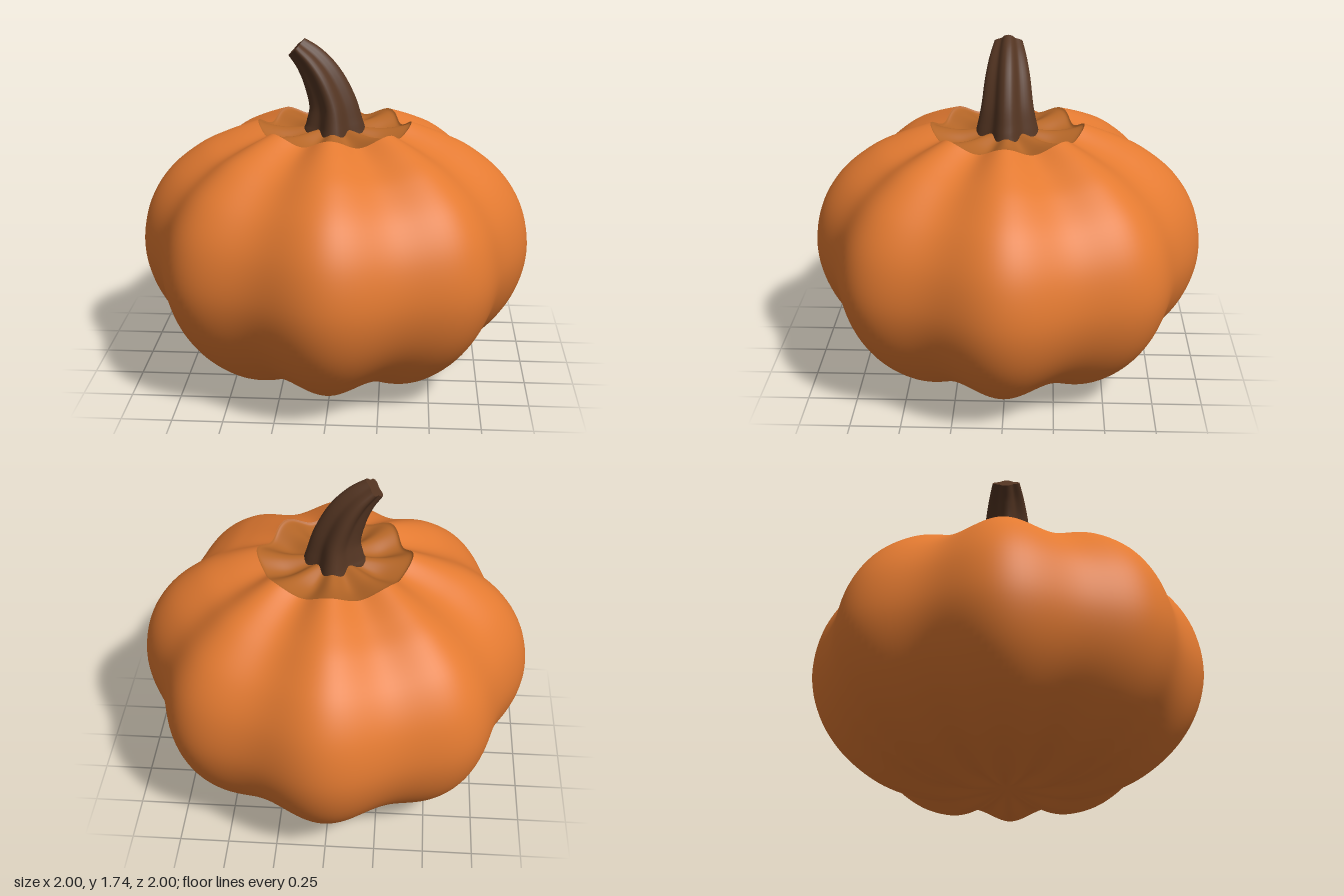
import * as THREE from 'three';

const MID = 0.65; // height of the widest ring
const LOBES = 8;

// Closed surface of rings: pointAt(t, angle) gives each vertex, t runs bottom to top
function ringSurface(rows, sides, pointAt, material, name) {
  const pos = [], index = [];
  for (let i = 0; i <= rows; i++) {
    for (let j = 0; j < sides; j++) {
      pos.push(...pointAt(i / rows, (j / sides) * Math.PI * 2));
      if (i === rows) continue;
      const a = i * sides + j, b = i * sides + ((j + 1) % sides);
      index.push(a, a + sides, b, b, a + sides, b + sides);
    }
  }
  const geo = new THREE.BufferGeometry();
  geo.setAttribute('position', new THREE.Float32BufferAttribute(pos, 3));
  geo.setIndex(index);
  geo.computeVertexNormals();
  const mesh = new THREE.Mesh(geo, material);
  mesh.name = name;
  return mesh;
}

// Profile turned around y, swelling and shrinking in eight lobes that fade near the axis
function lobed(profile, rows, material, name) {
  const curve = new THREE.SplineCurve(profile.map(([r, y]) => new THREE.Vector2(r, y)));
  return ringSurface(rows, 192, (t, a) => {
    const p = curve.getPoint(t);
    const r = Math.max(p.x, 0);
    const fade = THREE.MathUtils.smoothstep(r, 0, 0.3);
    const s = 1 - 0.035 * fade * (1 - Math.cos(LOBES * a));
    return [r * s * Math.cos(a), MID + (p.y - MID) * s, r * s * Math.sin(a)];
  }, material, name);
}

export function createModel() {
  const skin = new THREE.MeshStandardMaterial({ color: 0xe37a31 });
  skin.name = 'orange skin';
  const lidSkin = new THREE.MeshStandardMaterial({ color: 0xb56627 });
  lidSkin.name = 'brownish orange lid';
  const bark = new THREE.MeshStandardMaterial({ color: 0x543522 });
  bark.name = 'dark brown stem';

  const group = new THREE.Group();
  group.name = 'pumpkin';

  // Ribbed body with a dimpled underside
  group.add(lobed([
    [0, 0.07], [0.12, 0.03], [0.28, 0], [0.45, 0.02], [0.65, 0.105], [0.83, 0.255], [0.95, 0.44],
    [1, 0.65], [0.965, 0.87], [0.86, 1.05], [0.7, 1.185], [0.55, 1.26], [0.39, 1.32],
  ], 72, skin, 'body'));

  // Shallow sunken lid inside the rim
  group.add(lobed([
    [0.39, 1.32], [0.365, 1.302], [0.25, 1.285], [0.12, 1.292], [0, 1.3],
  ], 24, lidSkin, 'lid'));

  // Curved stem: four ridges, tapering; x = centre x, y = centre y, z = radius
  const spine = new THREE.CatmullRomCurve3([
    [0, 1.26, 0.165], [0, 1.31, 0.147], [-0.01, 1.41, 0.122],
    [-0.06, 1.54, 0.102], [-0.12, 1.63, 0.082], [-0.19, 1.698, 0.06],
  ].map((p) => new THREE.Vector3(...p)));
  const stemPoint = (t, a, scale = 1) => {
    const c = spine.getPoint(t);
    const d = spine.getTangent(t);
    const tilt = Math.atan2(-d.x, d.y);
    const r = scale * c.z * (0.85 + 0.15 * Math.cos(4 * a));
    const u = r * Math.cos(a);
    return [c.x + u * Math.cos(tilt), c.y + u * Math.sin(tilt), r * Math.sin(a) * (1 + 0.2 * t)];
  };
  group.add(ringSurface(28, 48, stemPoint, bark, 'stem'));

  // Flat cut end of the stem
  group.add(ringSurface(1, 48, (t, a) => stemPoint(1, a, 1 - t), bark, 'stemTip'));

  return group;
}
